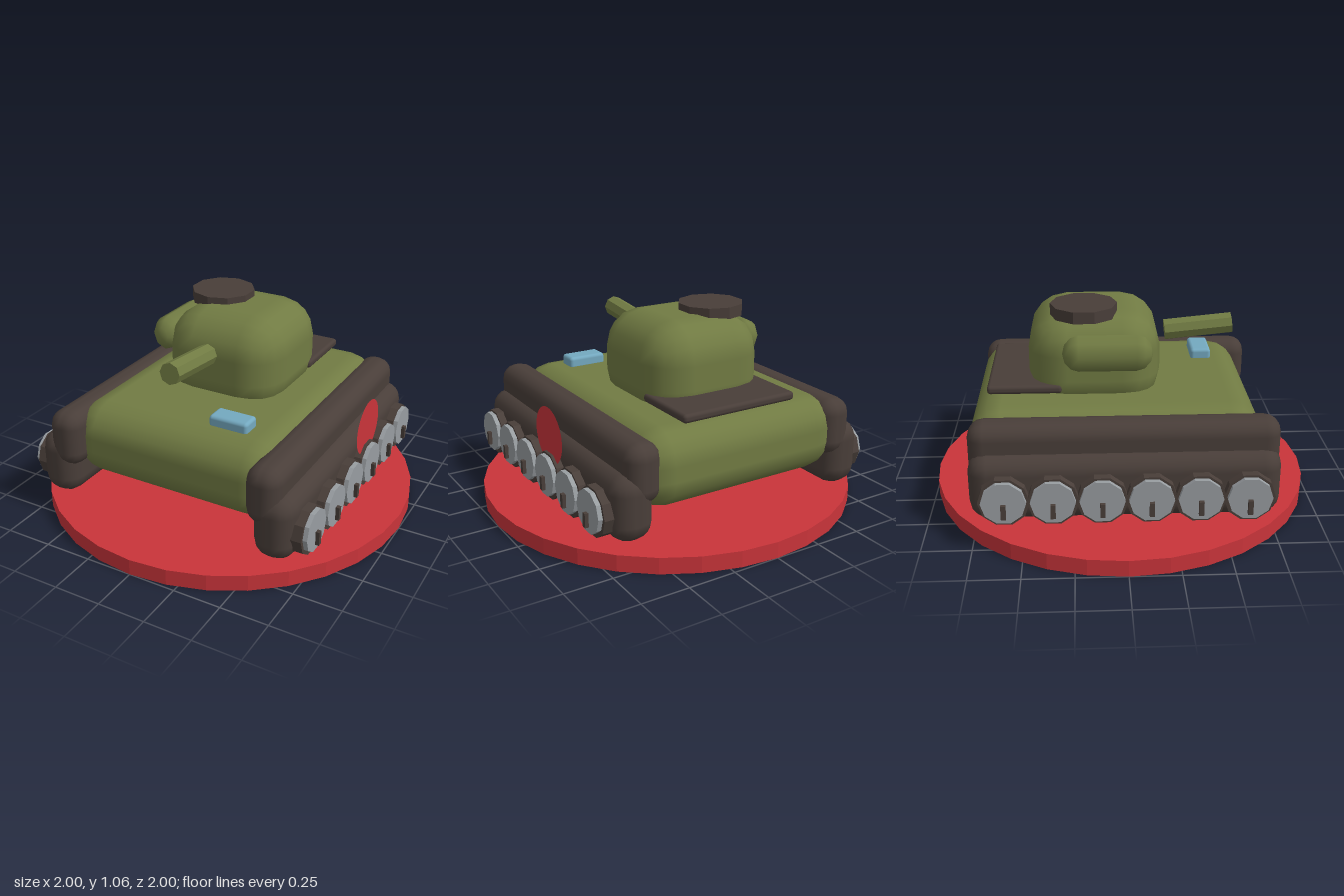
import * as THREE from 'three';
import { RoundedBoxGeometry } from 'three/addons/geometries/RoundedBoxGeometry.js';

const material = (name, color, extra = {}) => {
  const m = new THREE.MeshStandardMaterial({ color, ...extra });
  m.name = name;
  return m;
};

export function createModel() {
  const olive = material('olive', 0x717b43);
  const brown = material('dark brown', 0x493e39);
  const steel = material('steel grey', 0x989da1);
  const red = material('red', 0xc9343a, { side: THREE.DoubleSide });
  const blue = material('light blue', 0x74a9c0);

  const model = new THREE.Group();
  model.name = 'toyTank';

  const add = (name, geometry, mat, x, y, z, parent = model) => {
    const mesh = new THREE.Mesh(geometry, mat);
    mesh.name = name;
    mesh.position.set(x, y, z);
    parent.add(mesh);
    return mesh;
  };
  // soft box given by its limits on each axis
  const softBox = (name, mat, [x0, x1], [y0, y1], [z0, z1], radius, parent) =>
    add(name, new RoundedBoxGeometry(x1 - x0, y1 - y0, z1 - z0, 2, radius), mat,
      (x0 + x1) / 2, (y0 + y1) / 2, (z0 + z1) / 2, parent);
  // faceted cylinder without smoothing
  const facets = (radius, length, sides) => {
    const g = new THREE.CylinderGeometry(radius, radius, length, sides).toNonIndexed();
    g.computeVertexNormals();
    return g;
  };

  // round stand
  add('base', facets(1, 0.085, 32), red, 0, 0.0425, 0);

  // body and turret
  softBox('hull', olive, [-0.58, 0.58], [0.235, 0.63], [-0.765, 0.685], 0.16);
  softBox('turret', olive, [-0.33, 0.33], [0.5, 1.025], [-0.475, 0.2], 0.2);
  add('hatch', facets(0.17, 0.06, 10), brown, -0.15, 1.03, -0.19);

  // gun, tilted slightly upwards
  const gun = add('barrel', facets(0.056, 0.355, 8), olive, -0.005, 0.878, 0.41);
  gun.rotation.x = Math.PI / 2 - 0.097;

  // storage roll on the turret side
  const roll = new THREE.CapsuleGeometry(0.095, 0.34, 3, 8);
  roll.scale(0.82, 0.45 / 0.53, 1);
  roll.rotateX(Math.PI / 2);
  add('sideRoll', roll, olive, -0.342, 0.857, -0.075);

  // rear deck plate and headlamp
  softBox('rearPlate', brown, [-0.325, 0.325], [0.635, 0.68], [-0.682, -0.305], 0.018);
  softBox('headlamp', blue, [0.16, 0.37], [0.615, 0.682], [0.4, 0.51], 0.018);

  // tracks and wheels on both sides
  for (const side of [1, -1]) {
    const track = new THREE.Group();
    track.name = side > 0 ? 'leftTrack' : 'rightTrack';
    model.add(track);
    const span = (a, b) => (side > 0 ? [a, b] : [-b, -a]);
    softBox('upperTrack', brown, span(0.472, 0.655), [0.305, 0.607], [-0.762, 0.76], 0.08, track);
    softBox('lowerTrack', brown, span(0.51, 0.725), [0.128, 0.472], [-0.762, 0.76], 0.095, track);

    for (let i = 0; i < 6; i++) {
      const z = 0.59 - i * 0.235;
      const tyre = add('tyre', facets(0.125, 0.12, 10), brown, side * 0.705, 0.27, z, track);
      const disc = add('wheelDisc', facets(0.109, 0.04, 10), steel, side * 0.768, 0.275, z, track);
      tyre.rotation.z = disc.rotation.z = Math.PI / 2;
      add('wheelPin', new THREE.BoxGeometry(0.04, 0.072, 0.024), brown,
        side * 0.787, 0.236, z, track);
    }
  }

  // round marker plate on one side
  const marker = add('sideMarker', new THREE.CircleGeometry(0.148, 32), red, 0.75, 0.48, -0.113);
  marker.rotation.y = Math.PI / 2;

  return model;
}
